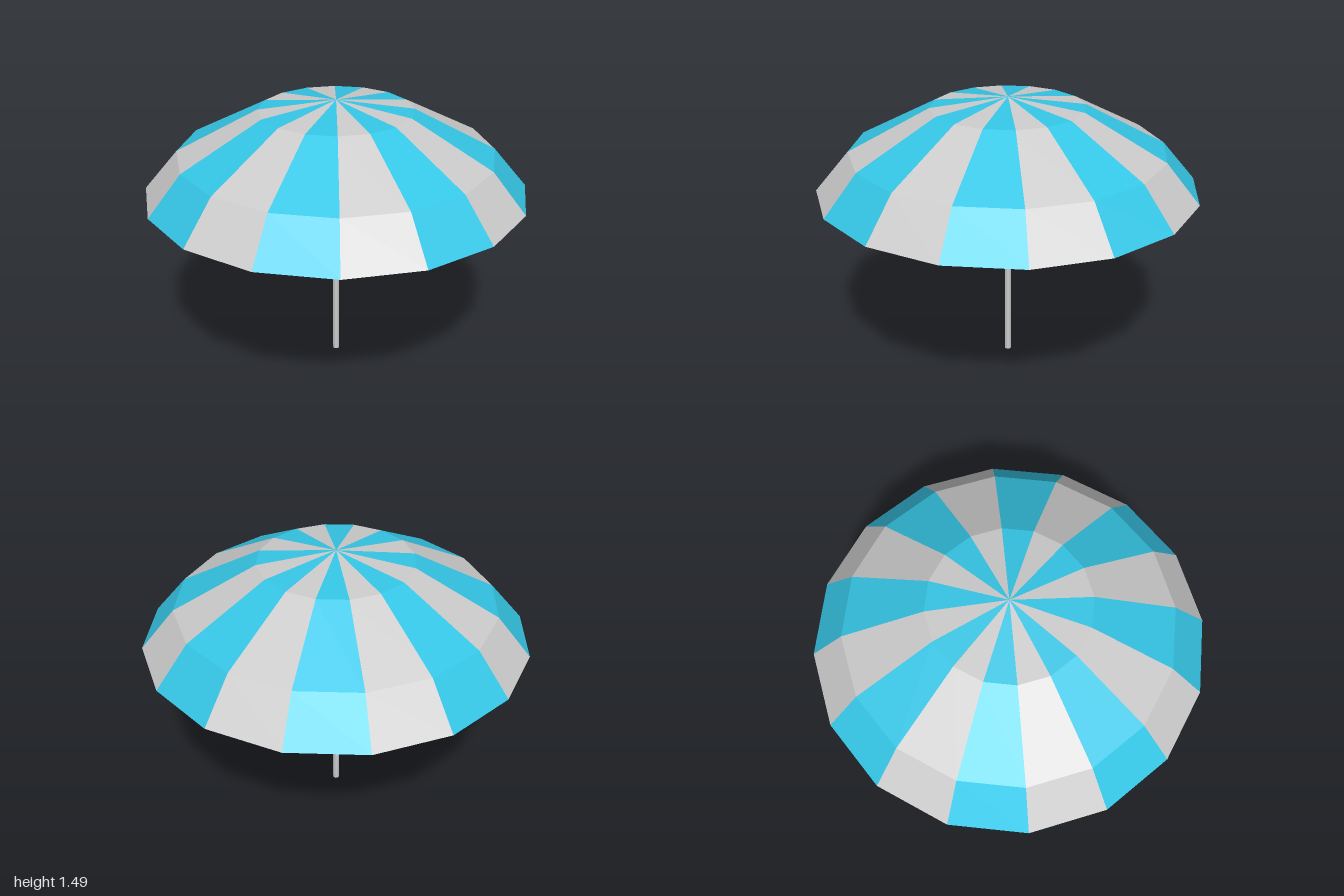
import * as THREE from 'three';

const SIDES = 16;
const GREY = 0xcccccc;
const BLUE = 0x35c6e6;

export function createModel() {
  const model = new THREE.Group();
  model.name = 'parasol';

  const grey = new THREE.MeshStandardMaterial({ color: GREY, flatShading: true });
  const blue = new THREE.MeshStandardMaterial({ color: BLUE, flatShading: true });

  // Thin closed section: up the outside, down the inside, back across the rim
  const section = [
    [1, 1.01], [0.824, 1.215], [0.4, 1.435], [0, 1.485],
    [0, 1.473], [0.396, 1.424], [0.816, 1.206], [0.985, 1.01], [1, 1.01],
  ].map(([r, y]) => new THREE.Vector2(r, y));

  // Canopy: one flat panel per side, in alternating colours
  const canopy = new THREE.Group();
  canopy.name = 'canopy';
  const step = (Math.PI * 2) / SIDES;
  for (let i = 0; i < SIDES; i++) {
    const panel = new THREE.Mesh(
      new THREE.LatheGeometry(section, 1, i * step, step),
      i % 2 === 0 ? blue : grey,
    );
    panel.name = `canopyPanel${i + 1}`;
    canopy.add(panel);
  }
  model.add(canopy);

  // Pole: from the ground up to the crown
  const height = 1.475;
  const pole = new THREE.Mesh(new THREE.CylinderGeometry(0.018, 0.018, height, 8), grey);
  pole.name = 'pole';
  pole.position.y = height / 2;
  model.add(pole);

  return model;
}
